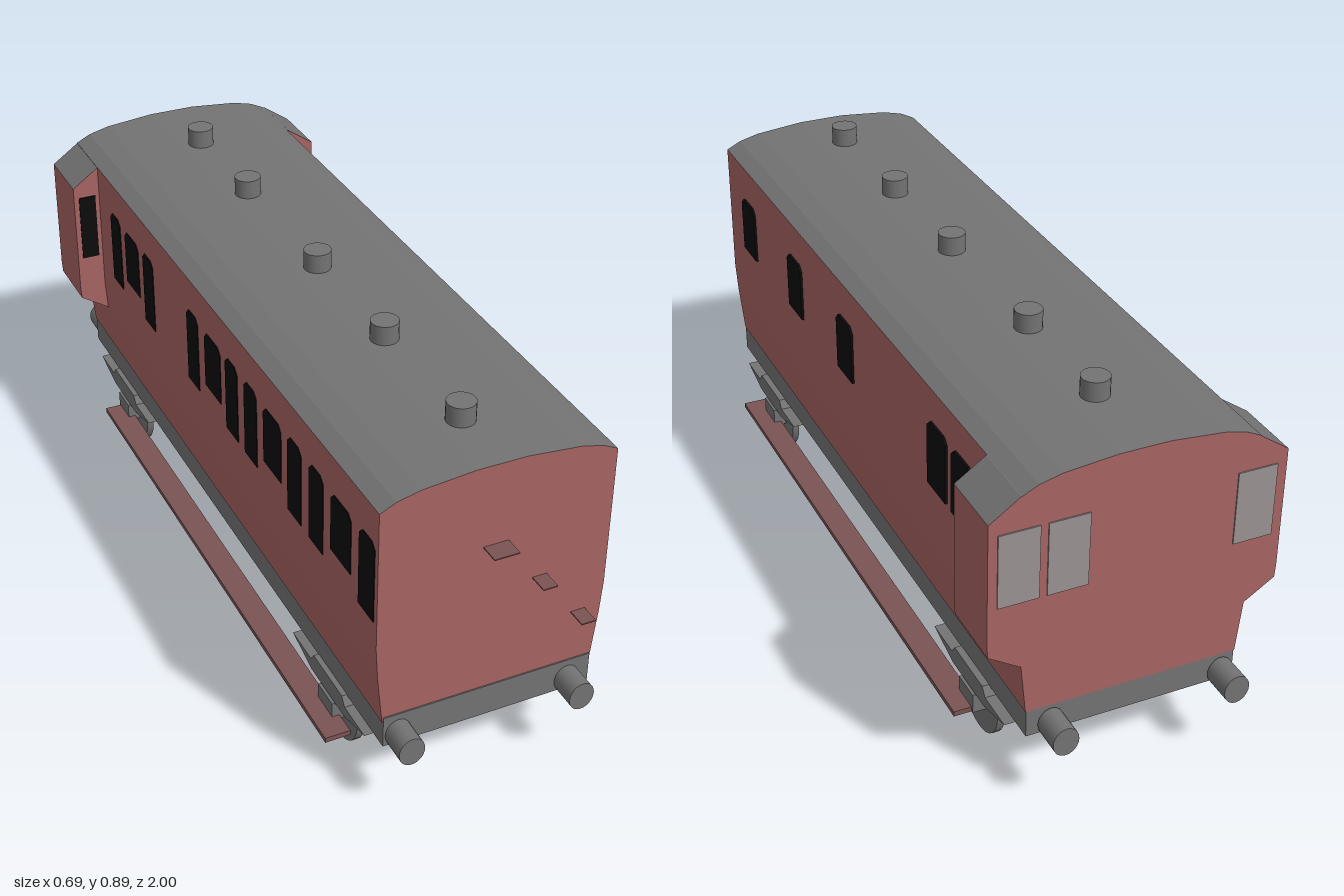
import * as THREE from 'three';

const mat = (name, color, side = THREE.FrontSide) => {
  const m = new THREE.MeshStandardMaterial({ color, side });
  m.name = name;
  return m;
};

export function createModel() {
  const red = mat('carriage red', 0xa86363);
  const grey = mat('roof and frame grey', 0x737373);
  const black = mat('window black', 0x0c0c0c);
  const glass = mat('pale rear glass', 0x9a9292);
  const brown = mat('step brown', 0x7a5353);
  const root = new THREE.Group();
  root.name = 'railwayCarriage';

  const add = (name, geo, material, x = 0, y = 0, z = 0) => {
    const m = new THREE.Mesh(geo, material);
    m.name = name;
    m.position.set(x, y, z);
    root.add(m);
    return m;
  };
  const box = (name, w, h, d, material, x, y, z) =>
    add(name, new THREE.BoxGeometry(w, h, d), material, x, y, z);
  const extrude = (pts, depth) => new THREE.ExtrudeGeometry(
    new THREE.Shape(pts.map(p => new THREE.Vector2(...p))),
    { depth, bevelEnabled: false });
  const mirrorX = pts => pts.map(([x, y]) => [-x, y]).reverse();

  const BACK = -0.92, FRONT = 0.93, LEN = FRONT - BACK;

  // Body walls, tapering inward near the floor
  const halfWall = [[0.257, 0.243], [0.27, 0.37], [0.275, 0.45], [0.275, 0.8]];
  add('body', extrude([...halfWall, ...mirrorX(halfWall)], LEN), red, -0.002, 0, BACK);

  // Arched roof: red ends, grey covering
  const halfArch = [[0.275, 0.8], [0.238, 0.818], [0.185, 0.831], [0.06, 0.843]];
  add('roof', extrude([...halfArch, ...mirrorX(halfArch)], LEN), [red, grey], -0.002, 0, BACK);

  // Roof ventilators
  for (const z of [0.755, 0.4, 0.045, -0.375, -0.695])
    add('roofVent', new THREE.CylinderGeometry(0.033, 0.033, 0.06, 24), grey, -0.004, 0.86, z);

  // Guard's lookouts projecting on both sides at the back
  const lookout = [[0.26, 0.37], [0.27, 0.37], [0.345, 0.418], [0.347, 0.45], [0.347, 0.75], [0.26, 0.75]];
  const lookoutTop = [[0.26, 0.75], [0.347, 0.75], [0.275, 0.8], [0.26, 0.8]];
  for (const s of [1, -1]) {
    const side = pts => (s > 0 ? pts : mirrorX(pts));
    add('lookout', extrude(side(lookout), 0.165), red, 0, 0, BACK);
    add('lookoutRoof', extrude(side(lookoutTop), 0.165), [red, grey], 0, 0, BACK);
    box('lookoutWindow', 0.045, 0.18, 0.006, black, s * 0.311, 0.63, -0.755);
  }

  // Side windows with clipped upper corners
  const sideWindow = (s, z, w, y0, y1) => {
    const a = w / 2, c = 0.015;
    const geo = extrude([[-a, y0], [a, y0], [a, y1 - c], [a - c, y1], [c - a, y1], [-a, y1 - c]], 0.006);
    const m = add('sideWindow', geo, black, s * 0.273, 0, z);
    m.rotation.y = s * Math.PI / 2;
  };
  for (const z of [0.76, 0.4, 0.05]) sideWindow(1, z, 0.098, 0.56, 0.71);
  for (const z of [-0.505, -0.635]) sideWindow(1, z, 0.1, 0.555, 0.72);
  for (const z of [0.757, 0.4, 0.048, -0.505]) sideWindow(-1, z, 0.098, 0.56, 0.71);
  for (const z of [0.88, 0.633, 0.52, 0.276, 0.164, -0.08, -0.385, -0.626])
    sideWindow(-1, z, 0.072, 0.515, 0.715);

  // Rear windows
  for (const x of [0.278, 0.165, -0.276])
    box('rearWindow', 0.095, 0.18, 0.006, glass, x, 0.63, BACK);

  // Lamp brackets on the front wall
  for (const [x, y, w] of [[-0.005, 0.64, 0.06], [0.107, 0.52, 0.035], [0.212, 0.39, 0.035]])
    box('lampBracket', w, 0.003, 0.05, brown, x, y, 0.952);

  // Underframe and buffer beam
  box('underframe', 0.51, 0.068, LEN, grey, -0.002, 0.209, (FRONT + BACK) / 2);
  box('bufferBeam', 0.51, 0.08, 0.006, grey, -0.002, 0.215, FRONT);

  // Buffers
  for (const x of [-0.221, 0.197]) for (const z of [0.963, -0.963]) {
    const b = add('buffer', new THREE.CylinderGeometry(0.036, 0.036, 0.074, 24), grey, x, 0.203, z);
    b.rotation.x = Math.PI / 2;
    b.scale.x = 0.86;
  }

  // Running gear: axle, wheels, leaf springs and axle boxes
  const spring = [[-0.085, 0.128], [0.085, 0.128], [0.19, 0.157], [0.09, 0.157],
    [0.075, 0.178], [-0.075, 0.178], [-0.09, 0.157], [-0.19, 0.157]];
  for (const z of [0.68, -0.66]) {
    add('axle', new THREE.CylinderGeometry(0.013, 0.013, 0.38, 16), grey, 0, 0.091, z).rotation.z = Math.PI / 2;
    for (const s of [1, -1]) {
      add('wheel', new THREE.CylinderGeometry(0.1, 0.1, 0.018, 32), grey, s * 0.234, 0.1, z)
        .rotation.z = Math.PI / 2;
      add('leafSpring', extrude(spring, 0.03), grey, s > 0 ? 0.24 : -0.27, 0, z).rotation.y = Math.PI / 2;
      box('axleBox', 0.035, 0.05, 0.075, grey, s * 0.258, 0.1, z);
    }
  }

  // Long footboards
  for (const s of [1, -1])
    box('footboard', 0.062, 0.013, 1.465, brown, s * 0.288, 0.08, 0.042);

  return root;
}
